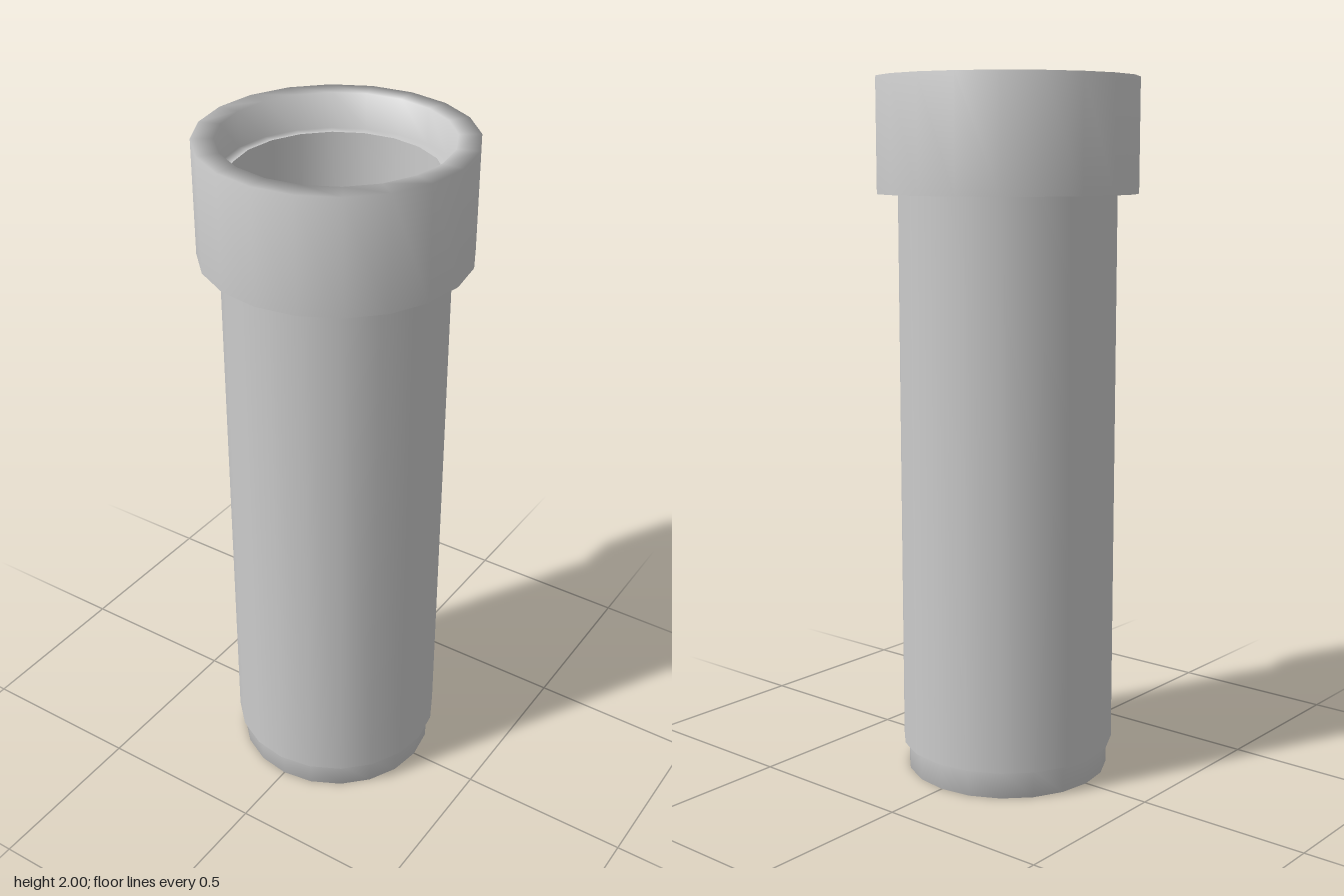
import * as THREE from 'three';

const SIDES = 20;

export function createModel() {
  const model = new THREE.Group();
  model.name = 'pipeWithSocket';
  const material = new THREE.MeshStandardMaterial({ color: 0xcccccc, side: THREE.DoubleSide });

  // Turns a profile of [radius, height] pairs; smooth within a part, sharp between parts
  function turn(name, profile) {
    const points = profile.map(([r, y]) => new THREE.Vector2(r, y));
    const mesh = new THREE.Mesh(new THREE.LatheGeometry(points, SIDES), material);
    mesh.name = name;
    model.add(mesh);
  }

  // Collar: outer wall, soft rim, socket wall and the ledge the next pipe rests on
  turn('collar', [[0.37, 1.68], [0.37, 2], [0.31, 2], [0.31, 1.9], [0.28, 1.9]]);
  turn('collarUnderside', [[0.31, 1.68], [0.37, 1.68]]);

  // Main tube and its small step at the foot
  turn('tube', [[0.31, 0.08], [0.31, 1.68]]);
  turn('tubeShoulder', [[0.295, 0.08], [0.31, 0.08]]);

  // Bore narrowing downwards, bottom lip and the outside of the spigot
  turn('boreAndSpigot', [[0.28, 1.9], [0.27, 0], [0.295, 0], [0.295, 0.08]]);

  return model;
}
